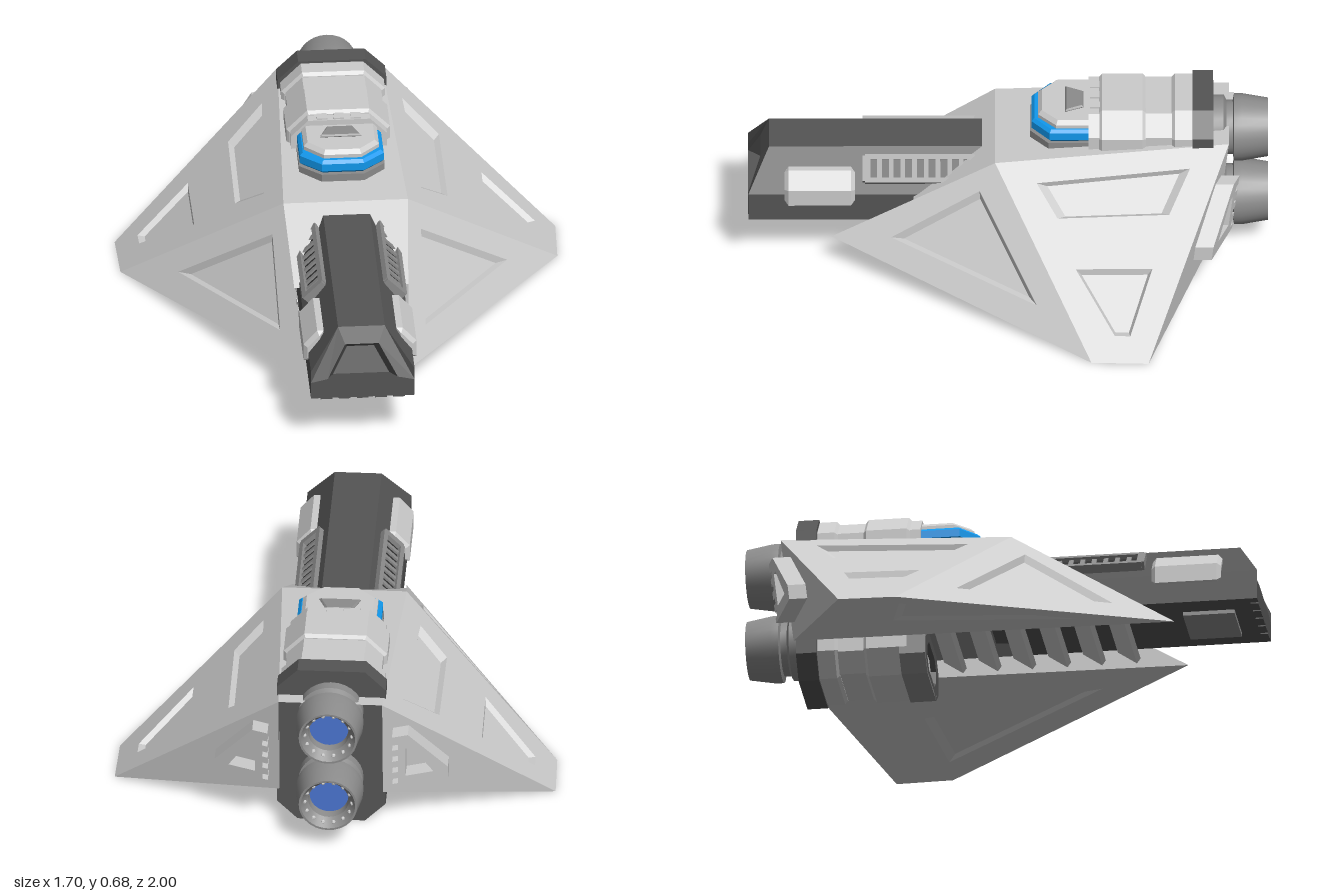
import * as THREE from 'three';
import { mergeGeometries, toCreasedNormals } from 'three/addons/utils/BufferGeometryUtils.js';

const mat = (color, extra = {}) => new THREE.MeshStandardMaterial({ color, flatShading: true, ...extra });
const GREY = mat(0xcccccc), DARK = mat(0x555555), MID = mat(0x8c8c8c), BLACK = mat(0x303030);
const BLUE = mat(0x1199ee), GLOW = mat(0x4a74d0);
const METAL = new THREE.MeshStandardMaterial({ color: 0x8c8c8c });
const V = (x, y, z) => new THREE.Vector3(x, y, z);

function add(parent, name, geometry, material, x = 0, y = 0, z = 0) {
  const m = new THREE.Mesh(geometry, material);
  m.name = name;
  m.position.set(x, y, z);
  parent.add(m);
  return m;
}
const box = (parent, name, material, w, h, d, x, y, z) =>
  add(parent, name, new THREE.BoxGeometry(w, h, d), material, x, y, z);

const normalOf = ([a, b, c]) => b.clone().sub(a).cross(c.clone().sub(a)).normalize();

// Fill in the missing axis of 2D points so they lie on a face's plane
function onPlane(face, axis, pts) {
  const n = normalOf(face);
  const free = ['x', 'y', 'z'].filter(k => k !== axis);
  return pts.map(p => {
    const v = V(0, 0, 0);
    free.forEach((k, i) => { v[k] = p[i]; });
    v[axis] = face[0][axis] - free.reduce((s, k) => s + n[k] * (v[k] - face[0][k]), 0) / n[axis];
    return v;
  });
}

// Flat face with sunken bevelled panels; "inside" is a point behind the face
function panelled(face, holes, inside, depth = 0.02, shrink = 0.86) {
  const pos = [];
  const tri = (a, b, c, out) => {
    const flip = normalOf([a, b, c]).dot(out) < 0;
    for (const p of flip ? [a, c, b] : [a, b, c]) pos.push(p.x, p.y, p.z);
  };
  const n = normalOf(face);
  if (n.dot(face[0].clone().sub(inside)) < 0) n.negate();
  const u = face[1].clone().sub(face[0]).normalize(), w = n.clone().cross(u);
  const flat = pts => pts.map(p => new THREE.Vector2(p.dot(u), p.dot(w)));
  const all = [face, ...holes].flat();
  for (const t of THREE.ShapeUtils.triangulateShape(flat(face), holes.map(flat)))
    tri(all[t[0]], all[t[1]], all[t[2]], n);
  for (const h of holes) {
    const mid = h.reduce((s, p) => s.add(p), V(0, 0, 0)).divideScalar(h.length);
    const floor = h.map(p => p.clone().lerp(mid, 1 - shrink).addScaledVector(n, -depth));
    const sunk = mid.clone().addScaledVector(n, -depth);
    h.forEach((p, i) => {
      const j = (i + 1) % h.length;
      const inward = mid.clone().sub(p.clone().add(h[j]).multiplyScalar(0.5));
      tri(p, h[j], floor[j], inward);
      tri(p, floor[j], floor[i], inward);
      tri(floor[i], floor[j], sunk, n);
    });
  }
  const g = new THREE.BufferGeometry();
  g.setAttribute('position', new THREE.Float32BufferAttribute(pos, 3));
  g.computeVertexNormals();
  return g;
}

// Extrude half an outline (x >= 0, mirrored to -x) from z0 back to z1
const mirrored = half => [...half, ...half.map(([x, y]) => [-x, y]).reverse()];
const shapeOf = pts => new THREE.Shape(pts.map(p => new THREE.Vector2(...p)));
function block(pts, z0, z1, bevel = 0) {
  const g = new THREE.ExtrudeGeometry(shapeOf(pts), { depth: z0 - z1 - 2 * bevel,
    bevelEnabled: bevel > 0, bevelSize: bevel, bevelThickness: bevel, bevelOffset: -bevel, bevelSegments: 1 });
  return g.translate(0, 0, z1 + bevel);
}
const slab = (pts, y0, y1, bevel) => block(pts.map(([x, z]) => [x, -z]), y1, y0, bevel).rotateX(-Math.PI / 2);

function makeWing() {
  const wing = new THREE.Group();
  const peak = V(0.24, 0.51, 0.05), rear = V(0.2, 0.57, -0.85), tipB = V(0.85, 0, -0.54);
  const tipF = V(0.843, 0, -0.32), nose = V(0.2, 0.13, 0.68), low = V(0.2, 0.14, -0.8);
  const inside = V(0.35, 0.2, -0.3);
  const top = [peak, rear, tipB, tipF], front = [peak, tipF, nose], under = [nose, tipF, tipB, low], back = [tipB, rear, low];
  const zy = pts => pts.map(([z, y]) => [y, z]);
  const faces = [
    panelled(top, [
      onPlane(top, 'x', zy([[-0.11, 0.46], [-0.7, 0.505], [-0.62, 0.385], [-0.19, 0.37]])),
      onPlane(top, 'x', zy([[-0.26, 0.24], [-0.555, 0.245], [-0.47, 0.07], [-0.41, 0.07]])),
    ], inside),
    panelled(front, [onPlane(front, 'x', zy([[0.45, 0.185], [0.11, 0.41], [-0.11, 0.12]]))], inside),
    panelled(under, [onPlane(under, 'y', [[0.32, 0.33], [0.73, -0.32], [0.45, -0.38]])], inside, 0.015),
    panelled(back, [], inside),
    panelled([nose, low, V(0.2, 0.4, -0.8), V(0.2, 0.4, 0.23)], [], inside),
  ];
  add(wing, 'wingShell', mergeGeometries(faces), GREY);

  // Toothed bracket on the rear face, sheared to follow its slope
  const pts = [[0.45, 0.2], [0.45, 0.26], [0.3, 0.45], [0.24, 0.45]];
  for (let i = 0; i < 4; i++) {
    const y = 0.41 - i * 0.055;
    pts.push([0.24, y], [0.262, y], [0.262, y - 0.025], [0.24, y - 0.025]);
  }
  pts.push([0.24, 0.2]);
  const shape = shapeOf(pts);
  shape.holes.push(new THREE.Path([[0.29, 0.25], [0.29, 0.385], [0.315, 0.385], [0.395, 0.25]].map(p => new THREE.Vector2(...p))));
  const g = new THREE.ExtrudeGeometry(shape, { depth: 0.08, bevelEnabled: false });
  const p = g.attributes.position;
  for (let i = 0; i < p.count; i++) {
    const z = onPlane(back, 'z', [[p.getX(i), p.getY(i)]])[0].z;
    p.setZ(i, z - 0.07 + p.getZ(i));
  }
  g.computeVertexNormals();
  add(wing, 'rearBracket', g, GREY);
  return wing;
}

// Plate and slatted vent on one side of the nose
function makeNoseSide() {
  const side = new THREE.Group();
  add(side, 'cheekPlate', block([[0.15, 0.29], [0.218, 0.29], [0.218, 0.36], [0.165, 0.42], [0.14, 0.42]], 0.86, 0.59, 0.015), GREY);
  const vent = new THREE.Group();
  vent.name = 'vent';
  vent.position.set(0.148, 0.413, 0.34);
  vent.rotation.z = 0.78;
  box(vent, 'ventBack', BLACK, 0.01, 0.08, 0.4, 0, 0, 0);
  for (const s of [1, -1]) {
    box(vent, 'ventRail', MID, 0.035, 0.02, 0.42, 0.005, s * 0.045, 0);
    box(vent, 'ventEnd', MID, 0.035, 0.1, 0.03, 0.005, 0, s * 0.205);
  }
  for (let i = 0; i < 8; i++) box(vent, 'ventSlat', MID, 0.02, 0.07, 0.018, 0.003, 0, -0.16 + i * 0.045);
  side.add(vent);
  return side;
}

function makeEngine(y) {
  const engine = new THREE.Group();
  engine.name = 'engine';
  engine.position.y = y;
  const profile = [[0.125, 0.72], [0.125, 0.83], [0.105, 0.84], [0.105, 0.865], [0.13, 0.87], [0.13, 0.9],
    [0.113, 1], [0.105, 1], [0.078, 0.96], [0.075, 0.92], [0, 0.92]];
  const lathe = new THREE.LatheGeometry(profile.map(p => new THREE.Vector2(...p)), 28).rotateX(-Math.PI / 2);
  add(engine, 'nozzle', toCreasedNormals(lathe, 0.5), METAL);
  add(engine, 'glow', new THREE.CircleGeometry(0.075, 28).rotateY(Math.PI), GLOW, 0, 0, -0.925);
  for (let i = 0; i < 14; i++) {
    const a = i / 14 * Math.PI * 2;
    add(engine, 'stud', new THREE.SphereGeometry(0.009, 6, 4), GREY, 0.092 * Math.cos(a), 0.092 * Math.sin(a), -0.978);
  }
  return engine;
}

export function createModel() {
  const model = new THREE.Group();
  model.name = 'spacecraft';
  for (const s of [1, -1]) {
    const wing = makeWing(), side = makeNoseSide();
    wing.name = s > 0 ? 'leftWing' : 'rightWing';
    side.name = s > 0 ? 'leftNoseSide' : 'rightNoseSide';
    wing.scale.x = side.scale.x = s;
    model.add(wing, side);
  }

  // Centre hull: roof, sloped brow and inner core
  const mid = V(0, 0.3, -0.3);
  add(model, 'roof', panelled([V(0.24, 0.51, 0.05), V(0.2, 0.57, -0.85), V(-0.2, 0.57, -0.85), V(-0.24, 0.51, 0.05)], [], mid), GREY);
  add(model, 'brow', panelled([V(0.24, 0.51, 0.05), V(0.22, 0.32, 0.365), V(-0.22, 0.32, 0.365), V(-0.24, 0.51, 0.05)], [], mid), GREY);
  box(model, 'core', MID, 0.4, 0.29, 0.8, 0, 0.355, -0.38);

  // Nose with a sunken front opening
  const ring = mirrored([[0.2, 0.21], [0.2, 0.28], [0.2, 0.33], [0.09, 0.48]]);
  const frontZ = y => (y > 0.4 ? 0.92 : 1);
  const skin = ring.map(([x, y], i) => {
    const [x2, y2] = ring[(i + 1) % ring.length];
    return panelled([V(x, y, frontZ(y)), V(x2, y2, frontZ(y2)), V(x2, y2, -0.05), V(x, y, -0.05)], [], V(0, 0.33, 0.4));
  });
  const at = ([x, y]) => V(x, y, frontZ(y));
  const inNose = V(0, 0.33, 0.4);
  skin.push(panelled([ring[0], ring[1], ring[6], ring[7]].map(at), [], inNose));
  skin.push(panelled([ring[2], ring[3], ring[4], ring[5], ring[6], ring[1]].map(at),
    [mirrored([[0.135, 0.295], [0.065, 0.42]]).map(([x, y]) => V(x, y, 1 - Math.max(0, y - 0.33) * 0.53))], inNose, 0.1, 0.8));
  add(model, 'nose', mergeGeometries(skin), DARK);
  for (let i = -2; i <= 2; i++) box(model, 'noseTooth', DARK, 0.045, 0.06, 0.03, i * 0.07, 0.235, 0.985);
  box(model, 'chinPad', MID, 0.22, 0.02, 0.2, 0, 0.205, 0.8);

  // Canopy: sill, glass band, lid and fittings
  const plan = (w, f) => [[w, -0.36], [w, f - 0.07], [w * 0.5, f], [-w * 0.5, f], [-w, f - 0.07], [-w, -0.36]];
  add(model, 'canopySill', slab(plan(0.165, -0.085), 0.5, 0.55), MID);
  add(model, 'canopyGlass', slab(plan(0.162, -0.09), 0.55, 0.605, 0.012), BLUE);
  add(model, 'canopyLid', slab(plan(0.145, -0.115), 0.59, 0.635, 0.015), GREY);
  add(model, 'lidHatch', slab([[0.05, -0.29], [0.08, -0.22], [-0.08, -0.22], [-0.05, -0.29]], 0.63, 0.645, 0.006), MID);
  for (let i = -1; i <= 1; i++) box(model, 'lidStud', GREY, 0.04, 0.05, 0.05, i * 0.065, 0.638, -0.34);

  // Stepped engine housing above, mirrored below
  const housing = (inset, flip) => mirrored([[0.2 - inset, 0.5], [0.2 - inset, 0.59], [0.12, 0.672 - inset]])
    .map(([x, y]) => [x, flip ? 0.68 - y : y]);
  for (const flip of [false, true]) {
    const tag = flip ? 'lower' : 'upper';
    add(model, tag + 'HousingFront', block(housing(0, flip), -0.35, -0.53, 0.012), GREY);
    add(model, tag + 'HousingWaist', block(housing(0.015, flip), -0.31, -0.64), GREY);
    add(model, tag + 'HousingRear', block(housing(0, flip), -0.63, -0.72, 0.012), GREY);
  }
  add(model, 'rearCollar', block(mirrored([[0.13, 0], [0.21, 0.08], [0.21, 0.6], [0.13, 0.68]]), -0.71, -0.79), DARK);

  // Lower intake with a six-sided mouth
  const mouth = k => mirrored([[0.13 * k, 0.1 - 0.095 * k], [0.2 * k, 0.1 - 0.04 * k], [0.2 * k, 0.1 + 0.04 * k], [0.13 * k, 0.1 + 0.095 * k]]);
  const on = pts => pts.map(([x, y]) => V(x, y, -0.29));
  add(model, 'intakeMouth', panelled(on(mouth(1)), [on(mouth(0.62))], V(0, 0.1, -0.6), 0.08, 0.75), DARK);
  const shell = shapeOf(mouth(1));
  shell.holes.push(new THREE.Path(mouth(0.9).map(p => new THREE.Vector2(...p))));
  add(model, 'intakeShell', new THREE.ExtrudeGeometry(shell, { depth: 0.1, bevelEnabled: false }), MID, 0, 0, -0.39);

  // Slanted ribs along the belly channel
  for (let i = 0; i < 6; i++) box(model, 'bellyRib', GREY, 0.4, 0.025, 0.09, 0, 0.185, 0.45 - i * 0.135).rotation.x = 0.6;

  model.add(makeEngine(0.505), makeEngine(0.2));
  return model;
}
